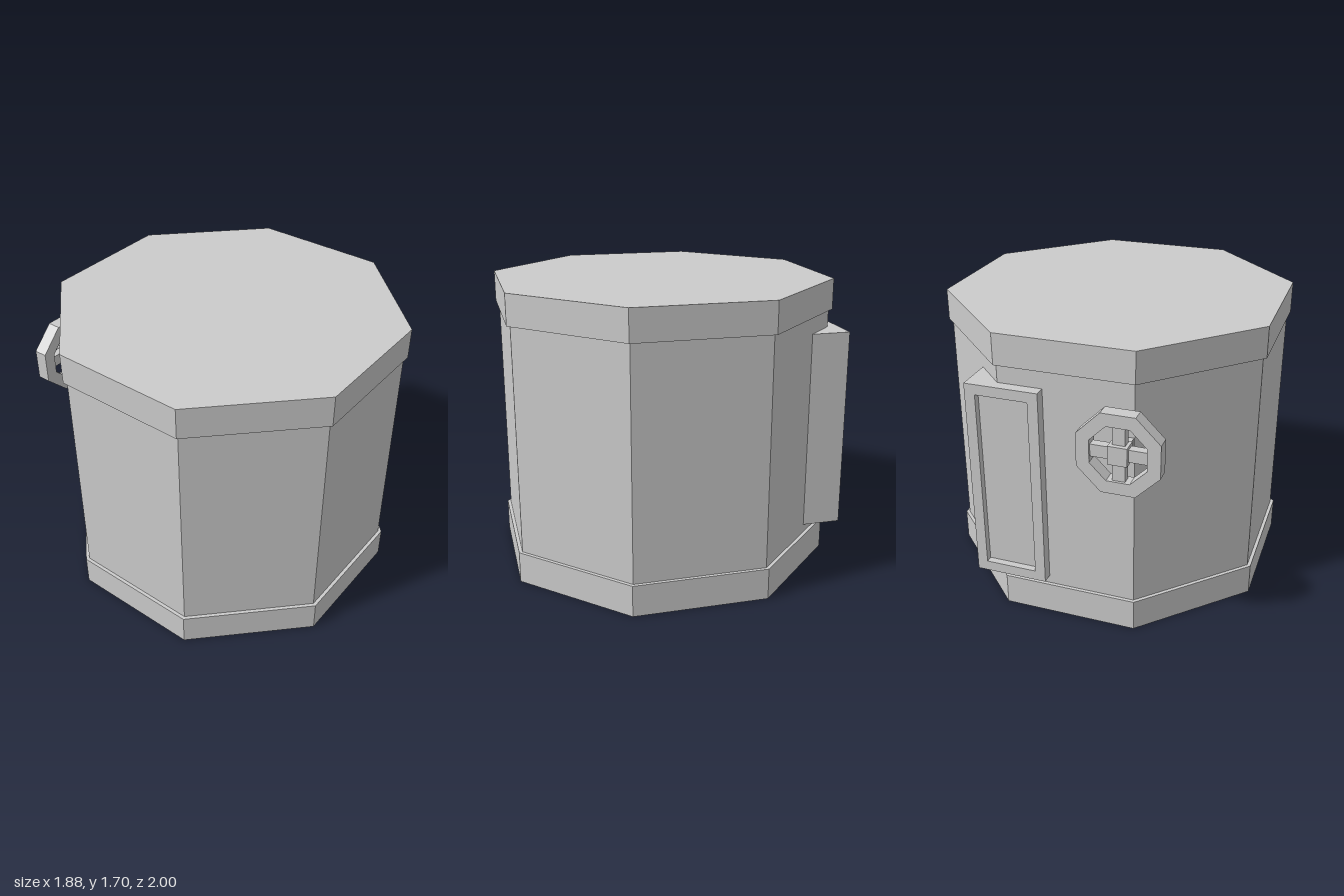
import * as THREE from 'three';

const material = new THREE.MeshStandardMaterial({ color: 0xcccccc, flatShading: true });
const APOTHEM = Math.cos(Math.PI / 8); // flat-to-centre distance of a unit octagon

function add(parent, name, geometry, x = 0, y = 0, z = 0) {
  const mesh = new THREE.Mesh(geometry, material);
  mesh.name = name;
  mesh.position.set(x, y, z);
  parent.add(mesh);
  return mesh;
}

// Octagonal prism with flats facing the axes
function octagonPrism(apothem, height) {
  const r = apothem / APOTHEM;
  return new THREE.CylinderGeometry(r, r, height, 8, 1, false, Math.PI / 8);
}

function octagonPoints(apothem) {
  return Array.from({ length: 8 }, (_, i) => {
    const a = (i + 0.5) * Math.PI / 4;
    return new THREE.Vector2(Math.cos(a), Math.sin(a)).multiplyScalar(apothem / APOTHEM);
  });
}

function rectPoints(w, h) {
  return [[-1, -1], [1, -1], [1, 1], [-1, 1]].map(([x, y]) => new THREE.Vector2(x * w / 2, y * h / 2));
}

// Extruded outline with a hole, from z = 0 to z = depth
function frame(outer, inner, depth) {
  const shape = new THREE.Shape(outer);
  shape.holes.push(new THREE.Path(inner));
  return new THREE.ExtrudeGeometry(shape, { depth, bevelEnabled: false });
}

export function createModel() {
  const model = new THREE.Group();
  model.name = 'octagonalTank';

  // Tank body and its two rims
  const zc = 0.06;
  add(model, 'body', octagonPrism(0.92, 1.34), 0, 0.85, zc);
  add(model, 'bottomRim', octagonPrism(0.94, 0.185), 0, 0.0925, zc);
  add(model, 'topRim', octagonPrism(0.94, 0.18), 0, 1.61, zc);

  // Back panel: solid block with a raised frame around a recess
  const panel = new THREE.Group();
  panel.name = 'backPanel';
  panel.position.set(0.335, 0.825, 0);
  add(panel, 'panelBlock', new THREE.BoxGeometry(0.42, 1.18, 0.195), 0, 0, -0.7875);
  add(panel, 'panelFrame', frame(rectPoints(0.42, 1.18), rectPoints(0.3, 1.06), 0.04), 0, 0, -0.925);
  model.add(panel);

  // Valve wheel on a short shaft
  const valve = new THREE.Group();
  valve.name = 'valveWheel';
  valve.position.set(-0.333, 1.168, 0);
  add(valve, 'wheelRing', frame(octagonPoints(0.227), octagonPoints(0.155), 0.08), 0, 0, -0.99);
  add(valve, 'spokeHorizontal', new THREE.BoxGeometry(0.33, 0.07, 0.05), 0, 0, -0.95);
  add(valve, 'spokeVertical', new THREE.BoxGeometry(0.07, 0.33, 0.05), 0, 0, -0.95);
  add(valve, 'hub', new THREE.BoxGeometry(0.105, 0.105, 0.09), 0, 0, -0.955);
  add(valve, 'shaft', new THREE.BoxGeometry(0.09, 0.09, 0.12), 0, 0, -0.87);
  model.add(valve);

  return model;
}
